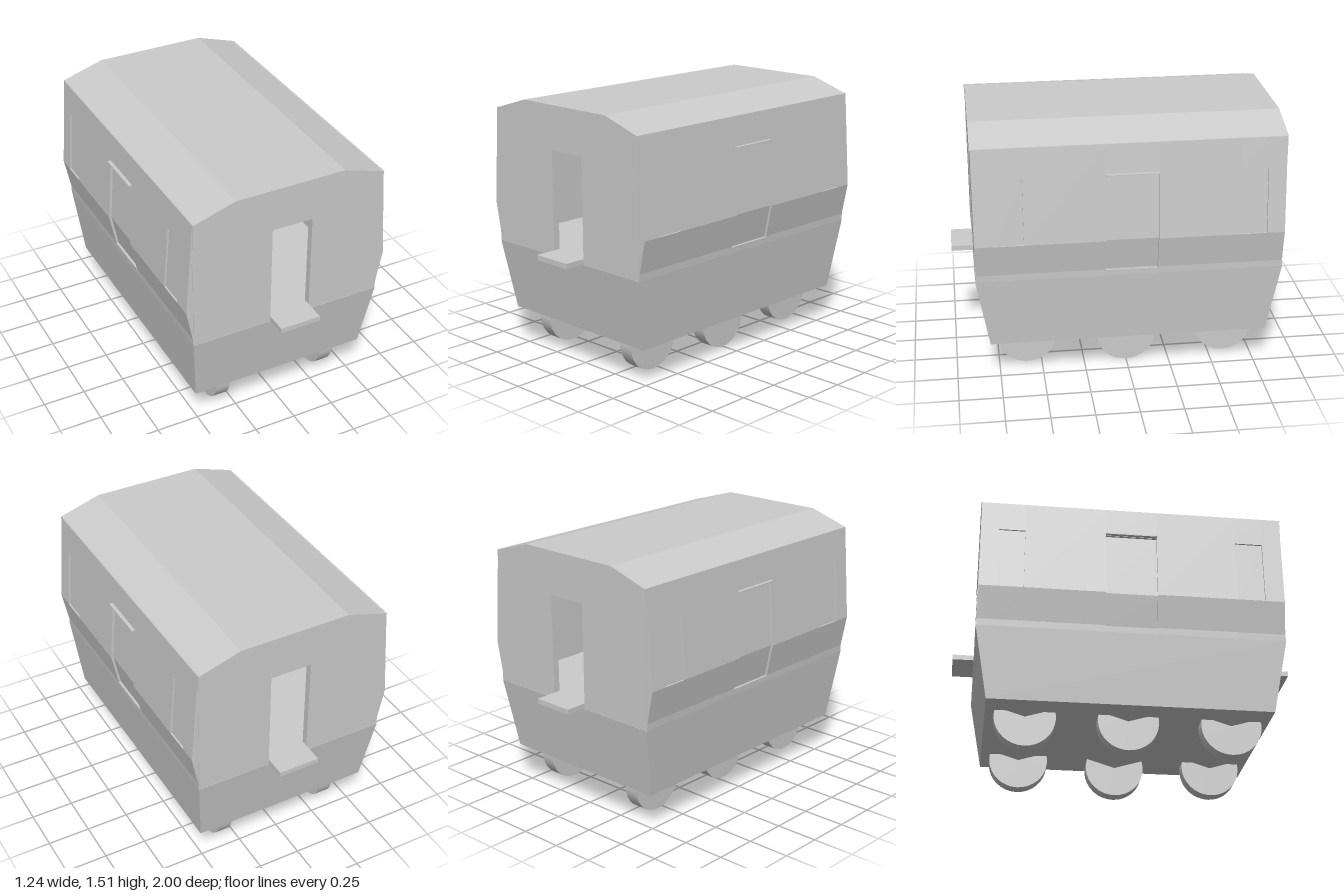
import * as THREE from 'three';

const grey = new THREE.MeshStandardMaterial({ color: 0xcccccc, side: THREE.DoubleSide });

// Bulging outline of the upper side wall: [x, y]
const PROFILE = [[0.58, 0.65], [0.582, 0.69], [0.62, 0.88], [0.58, 1.44]];

function wallX(y) {
  for (let i = 1; i < PROFILE.length; i++) {
    const [x0, y0] = PROFILE[i - 1], [x1, y1] = PROFILE[i];
    if (y <= y1) return x0 + (x1 - x0) * (y - y0) / (y1 - y0);
  }
  return PROFILE[PROFILE.length - 1][0];
}

function add(parent, name, geometry) {
  const mesh = new THREE.Mesh(geometry, grey);
  mesh.name = name;
  parent.add(mesh);
  return mesh;
}

function box(parent, name, x0, x1, y0, y1, z0, z1) {
  const g = new THREE.BoxGeometry(x1 - x0, y1 - y0, z1 - z0);
  return add(parent, name, g.translate((x0 + x1) / 2, (y0 + y1) / 2, (z0 + z1) / 2));
}

// Extrudes an x-y shape between two z positions
function prism(parent, name, shape, z0, z1) {
  const g = new THREE.ExtrudeGeometry(shape, { depth: z1 - z0, bevelEnabled: false });
  return add(parent, name, g.translate(0, 0, z0));
}

function polygon(points) {
  return new THREE.Shape(points.map(([x, y]) => new THREE.Vector2(x, y)));
}

// One tile of side wall that follows the bulge; thickness 0 means down to the flat inner face
function wallTile(parent, name, side, z0, z1, y0, y1, inset = 0, thickness = 0) {
  const ys = [y0, ...PROFILE.map(p => p[1]).filter(y => y > y0 && y < y1), y1];
  const outer = ys.map(y => [side * (wallX(y) - inset), y]);
  const inner = thickness
    ? ys.map(y => [side * (wallX(y) - inset - thickness), y])
    : [[side * 0.525, y0], [side * 0.525, y1]];
  prism(parent, name, polygon([...outer, ...inner.reverse()]), z0, z1);
}

function sideWall(side) {
  const wall = new THREE.Group();
  wall.name = side > 0 ? 'leftSideWall' : 'rightSideWall';
  const bottom = 0.65, top = 1.44;
  // Solid stretches between the recesses
  for (const [z0, z1] of [[-0.872, -0.77], [-0.62, -0.155], [0.14, 0.6], [0.76, 0.872]]) {
    wallTile(wall, 'wallPanel', side, z0, z1, bottom, top);
  }
  // Recessed windows
  for (const [z0, z1] of [[-0.77, -0.62], [0.6, 0.76]]) {
    wallTile(wall, 'wallBelowWindow', side, z0, z1, bottom, 0.88);
    wallTile(wall, 'windowPanel', side, z0, z1, 0.88, 1.26, 0.01);
    wallTile(wall, 'wallAboveWindow', side, z0, z1, 1.26, top);
  }
  // Recessed side door with a lip above it
  wallTile(wall, 'doorSill', side, -0.155, 0.14, bottom, 0.685);
  wallTile(wall, 'sideDoor', side, -0.155, 0.14, 0.685, 1.26, 0.014, 0.012);
  wallTile(wall, 'wallAboveDoor', side, -0.155, 0.14, 1.26, top);
  const lip = [0.57 * side, 0.614 * side].sort((a, b) => a - b);
  box(wall, 'doorLip', lip[0], lip[1], 1.262, 1.27, -0.155, 0.14);
  return wall;
}

function lowerHull(parent) {
  const g = new THREE.BoxGeometry(1.16, 0.42, 1.754).translate(0, 0.44, 0);
  const p = g.attributes.position;
  for (let i = 0; i < p.count; i++) {
    if (p.getY(i) < 0.4) p.setXYZ(i, Math.sign(p.getX(i)) * 0.535, 0.23, Math.sign(p.getZ(i)) * 0.803);
  }
  g.computeVertexNormals();
  add(parent, 'lowerHull', g);
}

function wheel(parent, x, y, z) {
  // Disc with an open wedge at the top
  const start = THREE.MathUtils.degToRad(163), sweep = THREE.MathUtils.degToRad(214);
  const g = new THREE.CylinderGeometry(0.173, 0.173, 0.085, 20, 1, false, start, sweep);
  add(parent, 'wheel', g.rotateZ(Math.PI / 2).translate(x, y, z));
}

export function createModel() {
  const model = new THREE.Group();
  model.name = 'railCarriage';

  lowerHull(model);
  box(model, 'floor', -0.54, 0.54, 0.64, 0.68, -0.85, 0.85);

  for (const side of [-1, 1]) model.add(sideWall(side));

  // End walls with open doorways, each with a platform
  for (const end of [-1, 1]) {
    const shape = polygon([[-0.58, 0.65], [0.58, 0.65], [0.58, 1.44], [-0.58, 1.44]]);
    shape.holes.push(new THREE.Path(
      [[-0.105, 0.652], [-0.105, 1.26], [0.14, 1.26], [0.14, 0.652]].map(p => new THREE.Vector2(...p))));
    const z0 = end > 0 ? 0.835 : -0.875;
    prism(model, 'endWall', shape, z0, z0 + 0.04);
    const p0 = end > 0 ? 0.83 : -1;
    box(model, 'platform', -0.105, 0.14, 0.652, 0.682, p0, p0 + 0.17);
  }

  // Faceted roof with the ceiling below it
  prism(model, 'roof', polygon([
    [-0.58, 1.437], [0.58, 1.437], [0.33, 1.515], [-0.33, 1.515]]), -0.878, 0.878);
  box(model, 'ceiling', -0.54, 0.54, 1.41, 1.44, -0.85, 0.85);

  // Standing pole inside
  add(model, 'pole', new THREE.CylinderGeometry(0.013, 0.013, 0.73, 12).translate(-0.002, 1.045, 0));

  // Three pairs of wheels, the middle left one hanging lower
  for (const z of [-0.58, 0, 0.585]) {
    wheel(model, -0.337, 0.198, z);
    wheel(model, 0.347, z === 0 ? 0.173 : 0.198, z);
  }
  return model;
}
